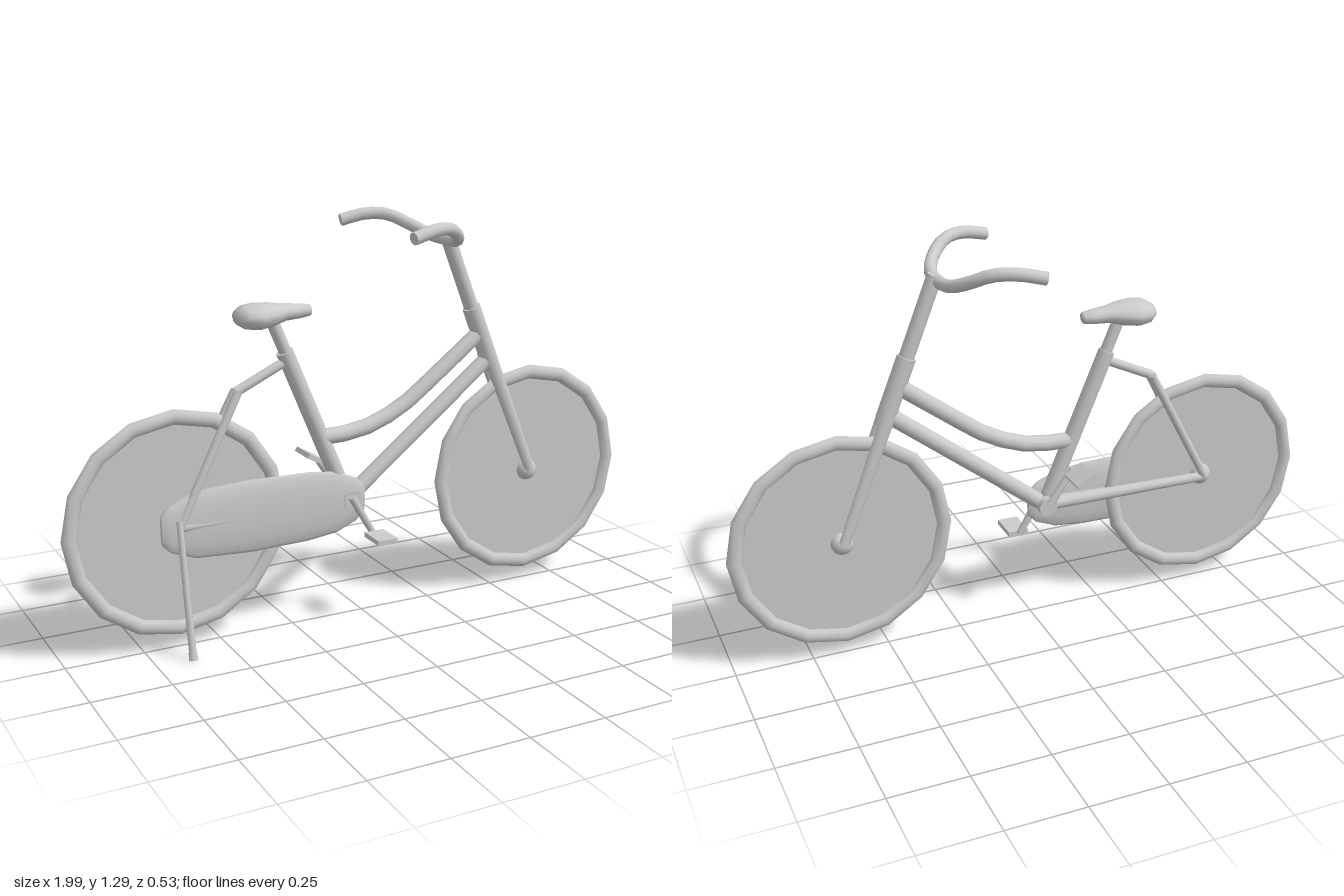
import * as THREE from 'three';

const V = (x, y, z = 0) => new THREE.Vector3(x, y, z);
const mat = new THREE.MeshStandardMaterial({ color: 0xcccccc });
const thin = new THREE.MeshStandardMaterial({ color: 0xcccccc, side: THREE.DoubleSide });

export function createModel() {
  const bike = new THREE.Group();
  bike.name = 'bicycle';

  const add = (name, geo, material = mat) => {
    const mesh = new THREE.Mesh(geo, material);
    mesh.name = name;
    bike.add(mesh);
    return mesh;
  };

  // Straight tube from a to b
  const rod = (name, a, b, r0, r1 = r0, sides = 10) => {
    const dir = b.clone().sub(a);
    const mesh = add(name, new THREE.CylinderGeometry(r1, r0, dir.length(), sides));
    mesh.position.copy(a).add(b).multiplyScalar(0.5);
    mesh.quaternion.setFromUnitVectors(V(0, 1, 0), dir.normalize());
    return mesh;
  };

  // Bent tube through points, closed with discs
  const bent = (name, pts, r, segments) => {
    const curve = new THREE.CatmullRomCurve3(pts);
    add(name, new THREE.TubeGeometry(curve, segments, r, 10));
    for (const t of [0, 1]) {
      const cap = add(name + 'Cap', new THREE.CircleGeometry(r, 10), thin);
      cap.position.copy(curve.getPointAt(t));
      cap.quaternion.setFromUnitVectors(V(0, 0, 1), curve.getTangentAt(t));
    }
  };

  // Elliptical cross-sections along x: [x, centre y, half height, half width]
  const loft = (name, sections, z, n = 14) => {
    const pos = [], index = [];
    sections.forEach(([x, y, h, w], i) => {
      for (let j = 0; j < n; j++) {
        const a = (j / n) * Math.PI * 2;
        pos.push(x, y + h * Math.cos(a), z + w * Math.sin(a));
        if (i === sections.length - 1) continue;
        const p = i * n + j, d = i * n + (j + 1) % n;
        index.push(p, d, p + n, p + n, d, d + n);
      }
    });
    const geo = new THREE.BufferGeometry();
    geo.setAttribute('position', new THREE.Float32BufferAttribute(pos, 3));
    geo.setIndex(index);
    geo.computeVertexNormals();
    add(name, geo);
  };

  // Wheels: tyre, spoke disc and hub
  for (const [side, x] of [['front', 0.635], ['rear', -0.63]]) {
    const tyre = add(side + 'Tyre', new THREE.TorusGeometry(0.338, 0.024, 8, 16));
    tyre.scale.z = 0.7;
    tyre.position.set(x, 0.4, 0);
    add(side + 'SpokeDisc', new THREE.CircleGeometry(0.336, 16), thin).position.set(x, 0.4, 0);
    const hub = add(side + 'Hub', new THREE.SphereGeometry(0.037, 12, 8));
    hub.scale.z = 0.9;
    hub.position.set(x, 0.395, 0);
  }

  // Frame
  rod('seatTube', V(-0.05, 0.385), V(-0.265, 0.9), 0.027);
  rod('seatPost', V(-0.25, 0.87), V(-0.305, 1.0), 0.02);
  rod('downTube', V(-0.03, 0.41), V(0.465, 0.8), 0.026);
  bent('topTube', [V(-0.14, 0.61), V(0, 0.62), V(0.14, 0.675), V(0.28, 0.775), V(0.425, 0.885)], 0.026, 8);
  rod('headTube', V(0.402, 0.98), V(0.478, 0.79), 0.03);
  const bracket = add('bottomBracket', new THREE.CylinderGeometry(0.032, 0.032, 0.08, 12));
  bracket.rotation.x = Math.PI / 2;
  bracket.position.set(-0.05, 0.4, 0);

  // Rear stays
  rod('seatStayBridge', V(-0.27, 0.865), V(-0.43, 0.79), 0.015);
  for (const s of [1, -1]) {
    rod('seatStay', V(-0.425, 0.795, s * 0.012), V(-0.63, 0.4, s * 0.03), 0.014);
    rod('chainStay', V(-0.05, 0.4, s * 0.015), V(-0.63, 0.395, s * 0.024), 0.022, 0.016);
  }

  // Steering stem and fork
  rod('stem', V(0.305, 1.225), V(0.42, 0.935), 0.024);
  rod('forkCrown', V(0.46, 0.83), V(0.485, 0.77), 0.03);
  for (const s of [1, -1]) {
    rod('forkBlade', V(0.467, 0.815, s * 0.016), V(0.635, 0.4, s * 0.025), 0.024, 0.018).scale.z = 0.6;
  }

  // Handlebar, symmetric about z = 0
  const half = [V(0.05, 1.255, 0.243), V(0.13, 1.273, 0.228), V(0.2, 1.27, 0.198), V(0.255, 1.24, 0.15), V(0.29, 1.214, 0.085)];
  const mirrored = half.map(p => V(p.x, p.y, -p.z)).reverse();
  bent('handlebar', [...half, V(0.3, 1.208, 0), ...mirrored], 0.02, 22);

  // Saddle, wide at the rear with a narrow nose
  loft('saddle', [
    [-0.418, 1.018, 0, 0], [-0.418, 1.018, 0.022, 0.04], [-0.395, 1.018, 0.036, 0.065],
    [-0.355, 1.018, 0.04, 0.078], [-0.31, 1.02, 0.036, 0.062], [-0.265, 1.023, 0.027, 0.038],
    [-0.215, 1.022, 0.023, 0.03], [-0.18, 1.022, 0.018, 0.022], [-0.178, 1.022, 0, 0],
  ], 0);

  // Chain case
  loft('chainCase', [
    [-0.688, 0.395, 0, 0], [-0.688, 0.395, 0.05, 0.01], [-0.66, 0.395, 0.077, 0.014],
    [-0.58, 0.396, 0.108, 0.017], [-0.4, 0.395, 0.118, 0.018], [-0.2, 0.395, 0.114, 0.018],
    [-0.1, 0.395, 0.102, 0.017], [-0.03, 0.395, 0.073, 0.014], [-0.003, 0.395, 0.045, 0.01],
    [-0.003, 0.395, 0, 0],
  ], 0.021);

  // Cranks and pedals
  for (const [s, x, y, tilt] of [[1, 0.022, 0.278, 0], [-1, -0.135, 0.522, -0.5]]) {
    rod('crank', V(-0.055, 0.41, s * 0.038), V(x, y, s * 0.038), 0.014, 0.011, 8);
    const pedal = add('pedal', new THREE.BoxGeometry(0.068, 0.016, 0.098));
    pedal.position.set(x, y, s * 0.094);
    pedal.rotation.z = tilt;
  }

  // Kickstand
  rod('kickstand', V(-0.635, 0.42, 0.035), V(-0.638, 0.02, 0.122), 0.01, 0.012, 8);
  rod('kickstandFoot', V(-0.638, 0.03, 0.12), V(-0.638, 0.004, 0.126), 0.013, 0.015, 8);

  return bike;
}
